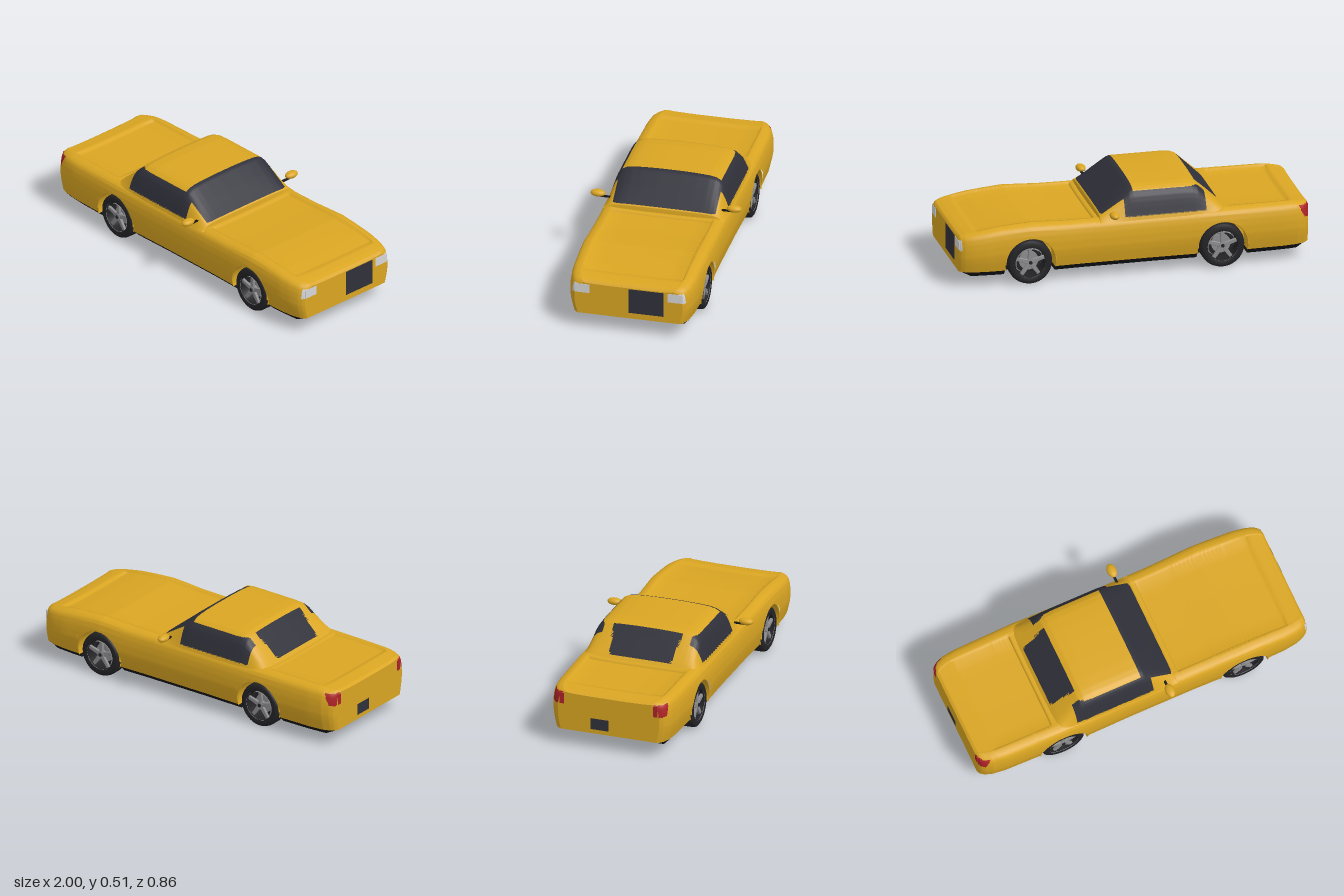
import * as THREE from 'three';

const mat = (name, color, extra = {}) => Object.assign(new THREE.MeshStandardMaterial({ color, ...extra }), { name });

// Piecewise linear lookup in [key, value] pairs
function lookup(table, k) {
  if (k <= table[0][0]) return table[0][1];
  for (let i = 1; i < table.length; i++) {
    const [k0, v0] = table[i - 1], [k1, v1] = table[i];
    if (k <= k1) return v0 + (v1 - v0) * (k - k0) / (k1 - k0);
  }
  return table[table.length - 1][1];
}

// Skin over rows of points; pick(centre) chooses the material of each triangle
function skin(rows, pick = () => 0, flip = false) {
  const n = rows[0].length, buckets = [[], [], []], c = new THREE.Vector3();
  const points = rows.flat();
  const add = (i, j, k) => {
    c.copy(points[i]).add(points[j]).add(points[k]).divideScalar(3);
    buckets[pick(c)].push(...(flip ? [i, k, j] : [i, j, k]));
  };
  for (let r = 0; r < rows.length - 1; r++) for (let q = 0; q < n - 1; q++) {
    const a = r * n + q, b = a + n;
    add(a, b, b + 1);
    add(a, b + 1, a + 1);
  }
  const geo = new THREE.BufferGeometry().setFromPoints(points);
  geo.setIndex(buckets.flat());
  let start = 0;
  buckets.forEach((b, i) => { if (b.length) geo.addGroup(start, b.length, i); start += b.length; });
  geo.computeVertexNormals();
  return geo;
}

const range = (a, b, n) => Array.from({ length: n + 1 }, (_, i) => a + (b - a) * i / n);
const sorted = list => [...new Set(list.map(v => +v.toFixed(4)))].sort((a, b) => a - b);

const SILL = 0.095, WHEELS = [-0.5, 0.6], ARCH = 0.145, AXLE = 0.13;
const halfWidth = [[-1, .30], [-.99, .32], [-.97, .336], [-.93, .352], [-.85, .362], [-.5, .369], [-.1, .362],
  [.3, .362], [.6, .369], [.85, .362], [.93, .351], [.97, .336], [.99, .322], [1, .308]];
const deck = [[-1, .322], [-.985, .333], [-.9, .343], [-.5, .345], [.2, .341], [.4, .343], [.5, .348], [.6, .352],
  [.7, .346], [.8, .337], [.9, .322], [.96, .312], [.99, .303], [1, .29]];
const sideCurve = [[0, .945], [.12, .965], [.25, .985], [.4, 1], [.6, 1], [.75, .99], [.87, .97], [.94, .94], [.98, .89], [1, .83]];
const roofLine = [[-.525, .335], [-.5, .362], [-.42, .44], [-.37, .489], [-.34, .501], [-.28, .506], [0, .507],
  [.02, .5], [.1, .437], [.195, .358], [.2, .325]];
const roofCurve = [[1, 0], [.97, .18], [.942, .36], [.915, .52], [.884, .67], [.85, .77], [.81, .85], [.74, .92],
  [.64, .96], [.45, .985], [.2, 1], [0, 1]];

// Lower edge of the body side, raised over the wheels
function lowEdge(x) {
  for (const w of WHEELS) {
    const d = Math.abs(x - w);
    if (d < ARCH) return AXLE + Math.sqrt(ARCH * ARCH - d * d);
  }
  return SILL;
}

// Cross-section of the lower body, from +z sill over the deck to -z sill
function bodySection(x) {
  const w = lookup(halfWidth, x), t = lookup(deck, x), low = lowEdge(x);
  const sunk = (x > .223 && x < .897) || (x > -.897 && x < -.548) ? .012 : 0;
  const half = range(0, 1, 26).map(v => {
    const y = low + (1 - (1 - v) ** 1.25) * (t - low);
    return [w * lookup(sideCurve, (y - SILL) / (t - SILL)), y];
  });
  const edge = Math.min(.288, w * .81);
  half.push([edge, t - .001], [edge - .006, t - .003 - sunk], [.2, t - .005 - sunk], [.1, t - .007 - sunk]);
  return [...half, [0, t - .007 - sunk], ...half.slice().reverse().map(([z, y]) => [-z, y])];
}

export function createModel() {
  const paint = mat('yellow paint', 0xd9a522), glass = mat('dark glass', 0x30303a), black = mat('black trim', 0x17171a);
  const rubber = mat('tyre rubber', 0x232327), metal = mat('wheel metal', 0x8c8c8e);
  const red = mat('red lamp', 0xad2228), white = mat('white lamp', 0xd6d6d8);
  const well = mat('wheel well paint', 0xd9a522, { side: THREE.DoubleSide });
  const car = new THREE.Group();
  car.name = 'car';
  const add = (name, geo, material, x = 0, y = 0, z = 0, parent = car) => {
    const mesh = new THREE.Mesh(geo, material);
    mesh.name = name;
    mesh.position.set(x, y, z);
    parent.add(mesh);
    return mesh;
  };

  // Lower body with lamps wrapped round the corners
  const xs = sorted([...range(-1, 1, 80), ...range(-1, -.92, 16), ...range(.96, 1, 8),
    ...[.22, .226, .894, .9, -.9, -.894, -.551, -.545],
    ...WHEELS.flatMap(w => [w - ARCH - .0002, w + ARCH + .0002,
      ...range(0, Math.PI, 36).map(a => w + (ARCH - .0001) * Math.cos(a))])]);
  const at = x => bodySection(x).map(([z, y]) => new THREE.Vector3(x, y, z));
  add('body', skin(xs.map(at), p => {
    const side = Math.abs(p.z);
    if (side > .27 && p.y > .25 && p.y < .32 && p.x < -.94 - (.32 - p.y) * .45) return 1;
    return side > .22 && p.y > .225 && p.y < .28 && p.x > .985 ? 2 : 0;
  }), [paint, red, white]);
  for (const end of [-1, 1]) {
    const face = new THREE.Shape(bodySection(end).map(([z, y]) => new THREE.Vector2(z, y)));
    add(end > 0 ? 'nose' : 'tail', new THREE.ShapeGeometry(face).rotateY(end * Math.PI / 2), paint, end);
  }

  // Plates on the nose and tail
  const plate = (name, x, y0, y1, z0, z1, m) =>
    add(name, new THREE.BoxGeometry(.004, y1 - y0, z1 - z0), m, x, (y0 + y1) / 2, (z0 + z1) / 2);
  plate('grille', .9995, .13, .278, -.2, 0, glass);
  plate('rearPlate', -.9995, .12, .185, -.105, 0, glass);
  for (const s of [-1, 1]) {
    plate('headlight', .9995, .225, .278, s * .265 - .043, s * .265 + .043, white);
    plate('tailLight', -.9995, .25, .312, s * .277 - .013, s * .277 + .013, red);
  }

  // Black underbody, notched at the wheels
  const floorXs = sorted([...range(-1, -.92, 8), ...range(.92, 1, 8), ...range(-.9, .9, 18),
    ...WHEELS.flatMap(w => [w - ARCH - .0002, w - ARCH, w + ARCH, w + ARCH + .0002])]);
  const floorRows = floorXs.map(x => {
    const notch = WHEELS.some(w => Math.abs(x - w) < ARCH + .0001);
    const z = notch ? .25 : lookup(halfWidth, x) * .945, z2 = notch ? .25 : z - .03;
    const y = lookup([[-1, SILL], [-.93, .063], [.93, .063], [1, SILL]], x);
    return [[z, SILL], [z2, y], [-z2, y], [-z, SILL]].map(([pz, py]) => new THREE.Vector3(x, py, pz));
  });
  const floor = skin(floorRows, () => 0, true).toNonIndexed();
  floor.computeVertexNormals();
  add('underbody', floor, black);

  // Cabin with windscreen, side windows and rear window
  const cabinXs = sorted([...range(-.525, .2, 116), -.41, 0, .055, .185, .195]);
  const finer = range(0, roofCurve.length - 1, (roofCurve.length - 1) * 4).map(k => {
    const i = Math.min(Math.floor(k), roofCurve.length - 2), f = k - i;
    return [0, 1].map(c => roofCurve[i][c] * (1 - f) + roofCurve[i + 1][c] * f);
  });
  const roofHalf = [...finer, ...finer.slice(0, -1).reverse().map(([u, f]) => [-u, f])];
  const cabinRows = cabinXs.map(x => roofHalf.map(([u, f]) =>
    new THREE.Vector3(x, .325 + f * (lookup(roofLine, x) - .325), u * .346)));
  add('cabin', skin(cabinRows, p => {
    const side = Math.abs(p.z);
    if (p.x > 0 && p.x < .187 && side < .295 && p.y > .36) return 1;
    if (p.x > -.505 && p.x < -.37 && side < .205 + (p.x + .37) * .18) return 1;
    return p.x > -.41 && p.x < .055 && p.y > .345 && p.y < .475 && side > .26 ? 1 : 0;
  }), [paint, glass]);

  // Door mirrors
  for (const s of [-1, 1]) {
    add('mirror', new THREE.SphereGeometry(1, 24, 16).scale(.027, .02, .042), paint, .13, .38, s * .39);
    add('mirrorStalk', new THREE.BoxGeometry(.014, .007, .06), black, .13, .363, s * .348);
  }

  // Wheel and its arch, built facing +z
  const tyreProfile = [[.086, -.047], [.112, -.047], [.123, -.04], [.127, -.026], [.127, .026], [.123, .04],
    [.112, .047], [.088, .047], [.086, .04], [.086, -.047]].map(p => new THREE.Vector2(...p));
  const rimProfile = [[.078, -.04], [.078, .036], [.08, .044], [.087, .046], [.087, -.04], [.078, -.04]]
    .map(p => new THREE.Vector2(...p));
  const start = -.25, sweep = Math.PI + .5;
  for (const x of WHEELS) for (const s of [-1, 1]) {
    const wheel = new THREE.Group();
    wheel.name = 'wheel';
    wheel.position.set(x, AXLE - .002, s * .304);
    if (s < 0) wheel.rotation.y = Math.PI;
    car.add(wheel);
    add('tyre', new THREE.LatheGeometry(tyreProfile, 48).rotateX(Math.PI / 2), rubber, 0, 0, 0, wheel);
    add('rim', new THREE.LatheGeometry(rimProfile, 48).rotateX(Math.PI / 2), metal, 0, 0, 0, wheel);
    const disc = (name, r, d, z, m) =>
      add(name, new THREE.CylinderGeometry(r, r, d, 32).rotateX(Math.PI / 2), m, 0, 0, z, wheel);
    disc('wheelBack', .08, .01, -.03, rubber);
    disc('brakeDisc', .055, .01, -.005, metal);
    disc('hub', .02, .03, .026, metal);
    disc('hubCap', .01, .006, .043, rubber);
    for (let i = 0; i < 5; i++) {
      const spoke = new THREE.Shape([[-.011, .01], [.011, .01], [.008, .082], [-.008, .082]].map(p => new THREE.Vector2(...p)));
      const geo = new THREE.ExtrudeGeometry(spoke, { depth: .012, bevelEnabled: true, bevelSize: .002, bevelThickness: .002, bevelSegments: 1 });
      add('spoke', geo, metal, 0, 0, .024, wheel).rotation.z = i * Math.PI * .4;
    }
    const liner = new THREE.CylinderGeometry(ARCH, ARCH, .104, 40, 1, true, Math.PI / 2 + start, sweep).rotateX(Math.PI / 2);
    add('wheelWell', liner, well, x, AXLE, s * .302);
    add('wheelWellWall', new THREE.CircleGeometry(ARCH, 40, start, sweep), well, x, AXLE, s * .25);
    add('archLip', new THREE.TorusGeometry(ARCH, .005, 8, 40, Math.PI), paint, x, AXLE, s * .356);
  }
  return car;
}
